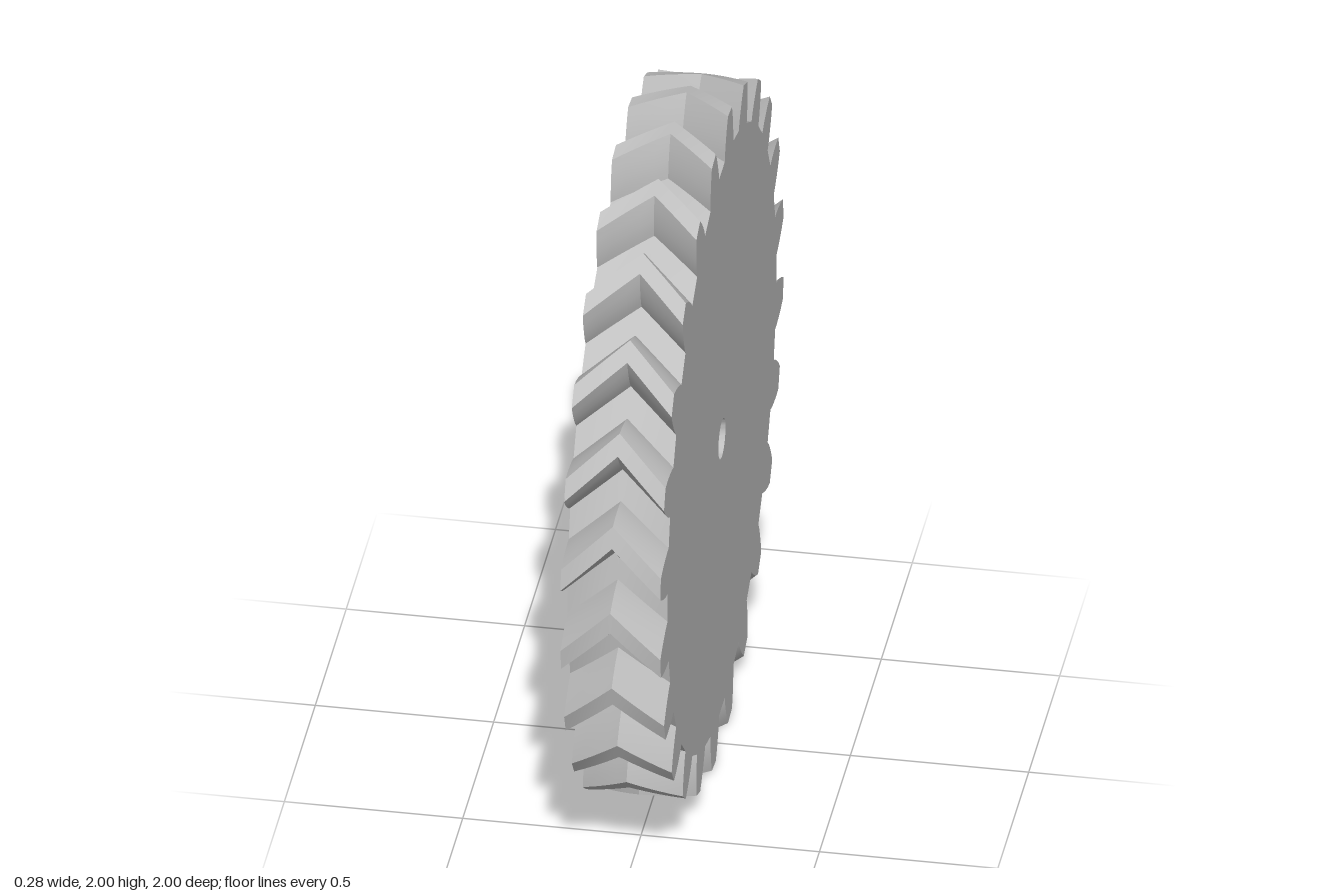
import * as THREE from 'three';
import { toCreasedNormals } from 'three/addons/utils/BufferGeometryUtils.js';

const TEETH = 24;
const WIDTH = 0.28;
const TWIST = THREE.MathUtils.degToRad(8);

// Half of one tooth: radius and half-angle in degrees, root to tip
const FLANK = [[0.88, 4.55], [0.905, 4.25], [0.935, 3.65], [0.97, 2.8], [1, 1.85]];

function gearShape() {
  const points = [];
  const add = (r, deg) => {
    const a = THREE.MathUtils.degToRad(deg);
    points.push(new THREE.Vector2(r * Math.cos(a), r * Math.sin(a)));
  };
  for (let i = 0; i < TEETH; i++) {
    const mid = (i + 0.5) * 360 / TEETH;
    FLANK.forEach(([r, half]) => add(r, mid - half));
    [...FLANK].reverse().forEach(([r, half]) => add(r, mid + half));
  }
  const shape = new THREE.Shape(points);
  // Axle bore
  const bore = new THREE.Path();
  bore.absarc(0, 0, 0.058, 0, Math.PI * 2, true);
  shape.holes.push(bore);
  return shape;
}

export function createModel() {
  const steel = new THREE.MeshStandardMaterial({ color: 0xc0c0c0 });
  steel.name = 'steel grey';

  const geometry = new THREE.ExtrudeGeometry(gearShape(), {
    depth: WIDTH, steps: 8, bevelEnabled: false, curveSegments: 24,
  });
  geometry.translate(0, 0, -WIDTH / 2);

  // Twist towards the middle plane, then back, for the herringbone teeth
  const pos = geometry.attributes.position;
  const v = new THREE.Vector3();
  const axis = new THREE.Vector3(0, 0, 1);
  for (let i = 0; i < pos.count; i++) {
    v.fromBufferAttribute(pos, i);
    v.applyAxisAngle(axis, -TWIST * (1 - Math.abs(v.z) / (WIDTH / 2)));
    pos.setXYZ(i, v.x, v.y, v.z);
  }
  geometry.rotateY(Math.PI / 2);
  geometry.translate(0, 1, 0);

  const gear = new THREE.Mesh(toCreasedNormals(geometry, 0.45), steel);
  gear.name = 'herringboneGear';

  const group = new THREE.Group();
  group.name = 'gearWheel';
  group.add(gear);
  return group;
}
